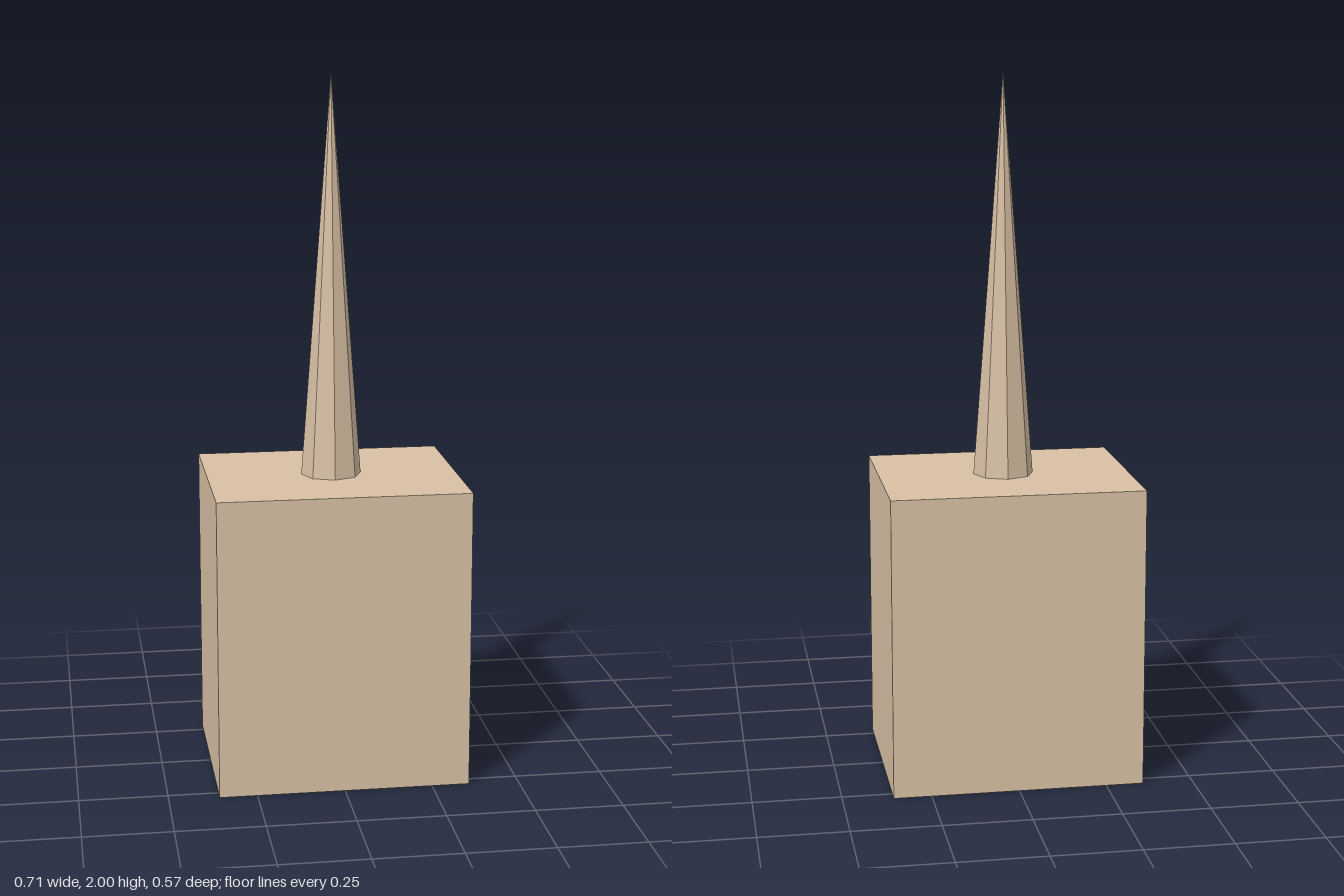
import * as THREE from 'three';

export function createModel() {
  const group = new THREE.Group();
  const material = new THREE.MeshStandardMaterial({ color: 0xd8c0a4, flatShading: true });
  const blockHeight = 0.857;
  const spireHeight = 2 - blockHeight;

  // Solid block standing on the ground
  const block = new THREE.Mesh(new THREE.BoxGeometry(0.714, blockHeight, 0.571), material);
  block.name = 'block';
  block.position.y = blockHeight / 2;
  group.add(block);

  // Slender eight-sided spire, centred on the block
  const spire = new THREE.Mesh(new THREE.ConeGeometry(0.086, spireHeight, 8), material);
  spire.name = 'spire';
  spire.position.y = blockHeight + spireHeight / 2;
  group.add(spire);

  return group;
}
